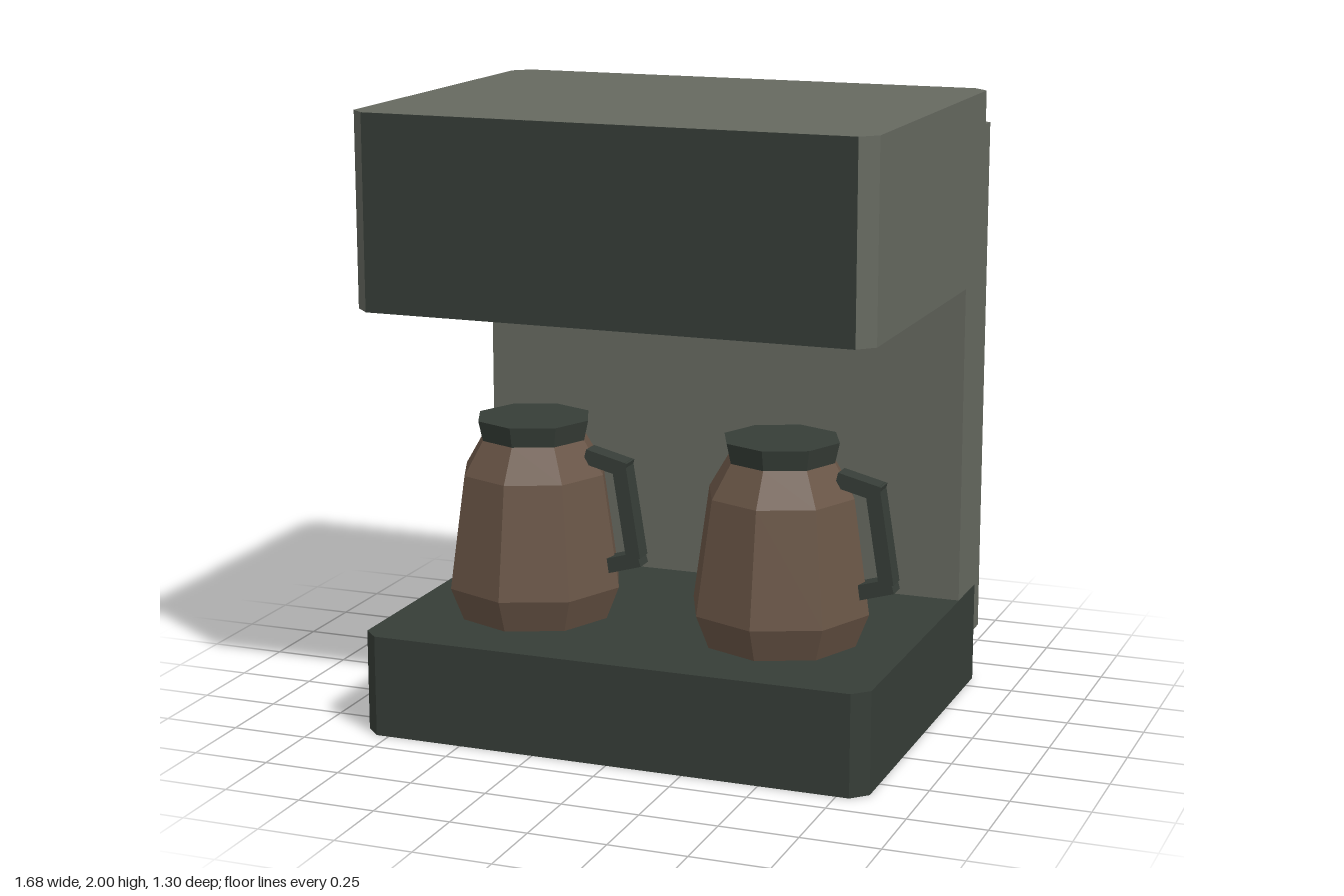
import * as THREE from 'three';
import { toCreasedNormals } from 'three/addons/utils/BufferGeometryUtils.js';

const W = 0.842, FRONT = 0.65, BACK = -0.635, CUT = 0.05;

function mesh(name, geometry, material) {
  const m = new THREE.Mesh(geometry, material);
  m.name = name;
  return m;
}

// Slab with chamfered vertical corners, between two heights
function chamferedSlab(y0, y1) {
  const s = new THREE.Shape([
    [-W + CUT, -FRONT], [W - CUT, -FRONT], [W, -FRONT + CUT], [W, -BACK - CUT],
    [W - CUT, -BACK], [-W + CUT, -BACK], [-W, -BACK - CUT], [-W, -FRONT + CUT],
  ].map(([x, y]) => new THREE.Vector2(x, y)));
  const g = new THREE.ExtrudeGeometry(s, { depth: y1 - y0, bevelEnabled: false });
  return g.rotateX(-Math.PI / 2).translate(0, y0, 0);
}

// Eight-sided faceted body from [radius, height] pairs
function facetedLathe(profile) {
  const g = new THREE.LatheGeometry(profile.map(([r, y]) => new THREE.Vector2(r, y)), 8);
  return toCreasedNormals(g, 0.05);
}

// Square bar between two points in the xy plane
function bar(x0, y0, x1, y1) {
  const g = new THREE.BoxGeometry(Math.hypot(x1 - x0, y1 - y0), 0.048, 0.066);
  return g.rotateZ(Math.atan2(y1 - y0, x1 - x0)).translate((x0 + x1) / 2, (y0 + y1) / 2, 0);
}

export function createModel() {
  const grey = new THREE.MeshStandardMaterial({ color: 0x666960 });
  grey.name = 'warm grey';
  const dark = new THREE.MeshStandardMaterial({ color: 0x363d37 });
  dark.name = 'dark green grey';
  const brown = new THREE.MeshStandardMaterial({ color: 0x695546 });
  brown.name = 'coffee brown';

  const model = new THREE.Group();
  model.name = 'coffeeMachine';

  // Housing
  model.add(mesh('base', chamferedSlab(0, 0.33), dark));
  model.add(mesh('head', chamferedSlab(1.38, 2), grey));
  const panel = mesh('backPanel', new THREE.BoxGeometry(1.68, 1.72, 0.26), grey);
  panel.position.set(0, 1.03, -0.52);
  model.add(panel);
  const plate = mesh('headFrontPlate', new THREE.BoxGeometry(2 * (W - CUT), 0.62, 0.004), dark);
  plate.position.set(0, 1.69, FRONT);
  model.add(plate);

  // Two coffee pots
  for (const [side, x] of [['right', -0.424], ['left', 0.42]]) {
    const pot = new THREE.Group();
    pot.name = side + 'Pot';
    pot.position.set(x, 0, 0.21);
    pot.add(mesh('jug', facetedLathe([[0, 0.332], [0.25, 0.332], [0.293, 0.44],
      [0.24, 0.81], [0.175, 0.92], [0, 0.92]]), brown));
    pot.add(mesh('lid', facetedLathe([[0, 0.918], [0.175, 0.918], [0.19, 0.985], [0, 0.985]]), dark));
    pot.add(mesh('handleTop', bar(0.19, 0.875, 0.33, 0.84), dark));
    pot.add(mesh('handleGrip', bar(0.306, 0.862, 0.356, 0.55), dark));
    pot.add(mesh('handleBottom', bar(0.265, 0.518, 0.375, 0.55), dark));
    model.add(pot);
  }
  return model;
}
